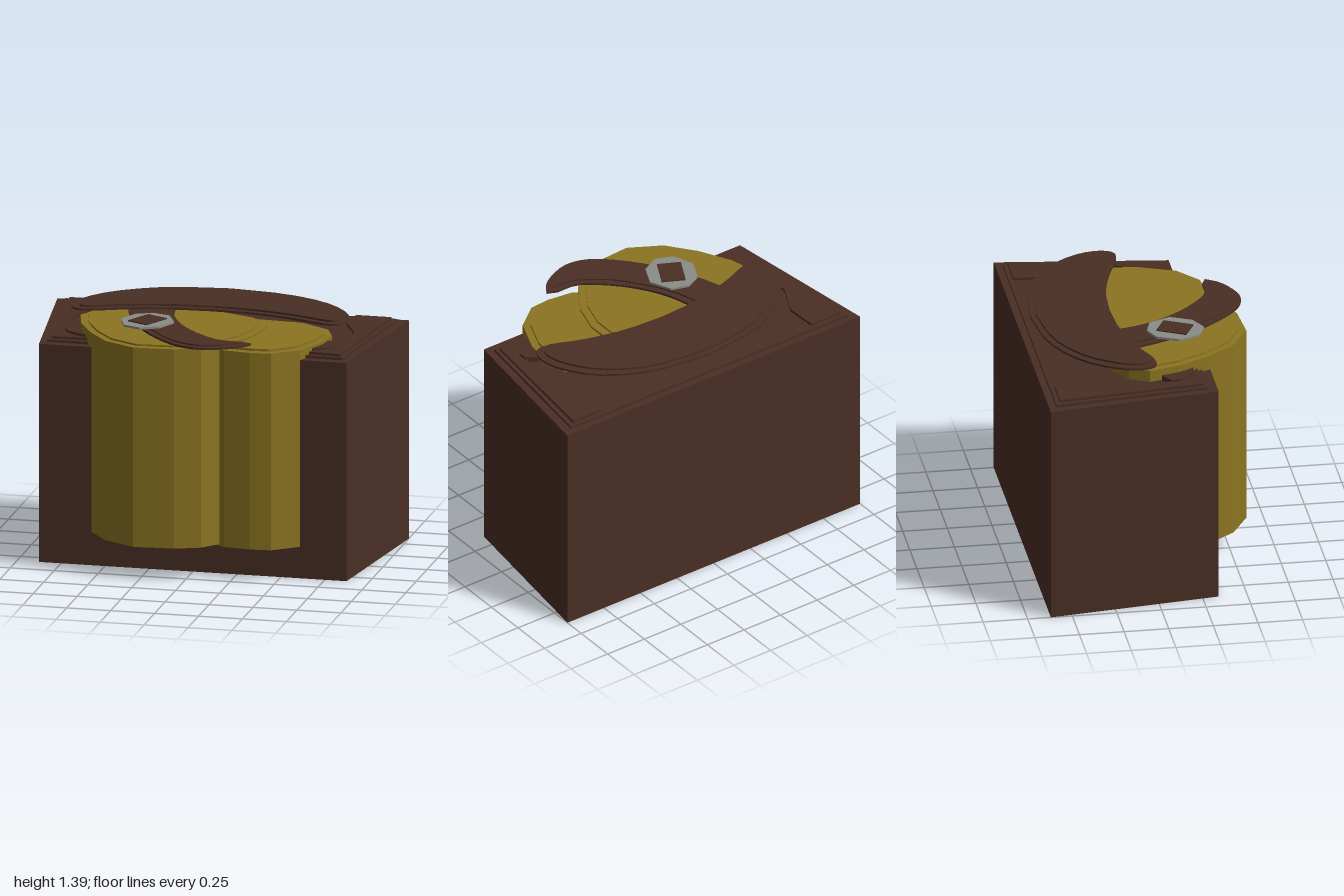
import * as THREE from 'three';

const mat = (name, color) => {
  const m = new THREE.MeshStandardMaterial({ color });
  m.name = name;
  return m;
};

export function createModel() {
  const model = new THREE.Group();
  model.name = 'beltPouch';
  const leather = mat('brown leather', 0x4a2e24);
  const gold = mat('gold cloth', 0x8b7420);
  const metal = mat('grey metal', 0x8a8d88);

  // Upright slab from a plan outline of [x, z] points, between two heights
  const slab = (name, points, y0, y1, material) => {
    const shape = new THREE.Shape(points.map(([x, z]) => new THREE.Vector2(x, z)));
    const geo = new THREE.ExtrudeGeometry(shape, { depth: y1 - y0, bevelEnabled: false });
    geo.rotateX(Math.PI / 2).translate(0, y1, 0);
    const mesh = new THREE.Mesh(geo, material);
    mesh.name = name;
    model.add(mesh);
  };
  const mirror = (pts) => pts.map(([x, z]) => [-x, z]);
  const inset = (pts, cx, cz, k) => pts.map(([x, z]) => [cx + (x - cx) * k, cz + (z - cz) * k]);
  const smooth = (pts, n) =>
    new THREE.CatmullRomCurve3(pts.map(([x, z]) => new THREE.Vector3(x, 0, z)))
      .getPoints(n).map((p) => [p.x, p.z]);

  // Tapered body and its raised top plate
  slab('body', [[-1, -0.62], [1, -0.62], [0.875, 0.34], [-0.875, 0.34]], 0, 1.25, leather);
  slab('topPlate', [[-0.945, -0.58], [0.945, -0.58], [0.84, 0.29], [-0.84, 0.29]], 1.25, 1.265, leather);

  // Corner panels and small side tabs
  const panel = [[0.915, -0.555], [0.715, -0.555], [0.705, -0.37], [0.79, -0.2],
    [0.8, 0], [0.7, 0.22], [0.6, 0.26], [0.82, 0.27]];
  const tab = [[0.6, 0.05], [0.72, 0.05], [0.775, 0.09], [0.775, 0.14], [0.74, 0.19], [0.66, 0.235], [0.58, 0.24]];
  for (const [side, f] of [['left', (p) => p], ['right', mirror]]) {
    slab(side + 'CornerPanel', f(panel), 1.265, 1.28, leather);
    slab(side + 'SideTab', f(tab), 1.265, 1.293, leather);
  }

  // Two faceted rolls set into the front
  const bigRoll = [[-0.725, -0.02], [-0.68, 0.15], [-0.585, 0.33], [-0.46, 0.49], [-0.28, 0.59], [-0.05, 0.575],
    [0.09, 0.52], [0.175, 0.42], [0.28, 0.25], [0.33, 0.08], [0.33, -0.06], [0.22, -0.18],
    [0.02, -0.26], [-0.25, -0.27], [-0.52, -0.22], [-0.67, -0.13]];
  const smallRoll = [[0.06, 0.35], [0.2, 0.44], [0.35, 0.46], [0.47, 0.45], [0.61, 0.34], [0.69, 0.14],
    [0.71, 0.0], [0.66, -0.12], [0.5, -0.22], [0.2, -0.24], [0.06, -0.1]];
  slab('bigRoll', bigRoll, 0.19, 1.332, gold);
  slab('bigRollTop', inset(bigRoll, -0.2, 0.14, 0.91), 1.332, 1.342, gold);
  slab('smallRoll', smallRoll, 0.18, 1.307, gold);
  slab('smallRollTop', inset(smallRoll, 0.35, 0.1, 0.88), 1.307, 1.32, gold);

  // Curved strap: outer edge down, round the tip, inner edge back up
  const outer = [[-0.475, -0.29], [-0.475, -0.12], [-0.39, 0.12], [-0.28, 0.32], [-0.15, 0.48], [-0.04, 0.575],
    [0.04, 0.61], [0.12, 0.617], [0.21, 0.59], [0.31, 0.53], [0.36, 0.46]];
  const inner = [[0.3, 0.435], [0.18, 0.43], [0.05, 0.34], [-0.07, 0.21], [-0.16, 0.06], [-0.21, -0.1], [-0.23, -0.31]];
  slab('strap', [...smooth(outer, 24), ...smooth(inner, 16)], 1.35, 1.362, leather);
  const outerTop = [[-0.43, -0.26], [-0.42, -0.1], [-0.35, 0.12], [-0.24, 0.32], [-0.11, 0.48], [0, 0.56],
    [0.1, 0.585], [0.2, 0.56], [0.31, 0.475]];
  const innerTop = [[0.17, 0.46], [0.02, 0.36], [-0.1, 0.22], [-0.2, 0.06], [-0.25, -0.1], [-0.27, -0.27]];
  slab('strapTop', [...smooth(outerTop, 20), ...smooth(innerTop, 14)], 1.362, 1.37, leather);

  // Buckle: octagonal plate with a square stud
  slab('buckle', [[-0.3, 0.03], [-0.2, 0.06], [-0.145, 0.18], [-0.2, 0.3], [-0.3, 0.35], [-0.4, 0.31],
    [-0.445, 0.19], [-0.39, 0.07]], 1.37, 1.382, metal);
  slab('buckleStud', [[-0.315, 0.08], [-0.195, 0.14], [-0.275, 0.295], [-0.395, 0.235]], 1.382, 1.388, leather);

  // Crescent flap in two layers
  const crescent = (half) => [...smooth(half, 24), ...mirror(smooth(half, 24)).reverse().slice(1, -1)];
  slab('flap', crescent([[0, -0.13], [0.25, -0.112], [0.5, -0.05], [0.66, 0.012], [0.75, 0.01], [0.785, -0.06],
    [0.76, -0.19], [0.62, -0.38], [0.36, -0.525], [0, -0.577]]), 1.367, 1.379, leather);
  slab('flapTop', crescent([[0, -0.165], [0.25, -0.145], [0.5, -0.085], [0.66, -0.025], [0.72, -0.02], [0.742, -0.07],
    [0.71, -0.19], [0.58, -0.36], [0.34, -0.495], [0, -0.545]]), 1.379, 1.39, leather);

  return model;
}
